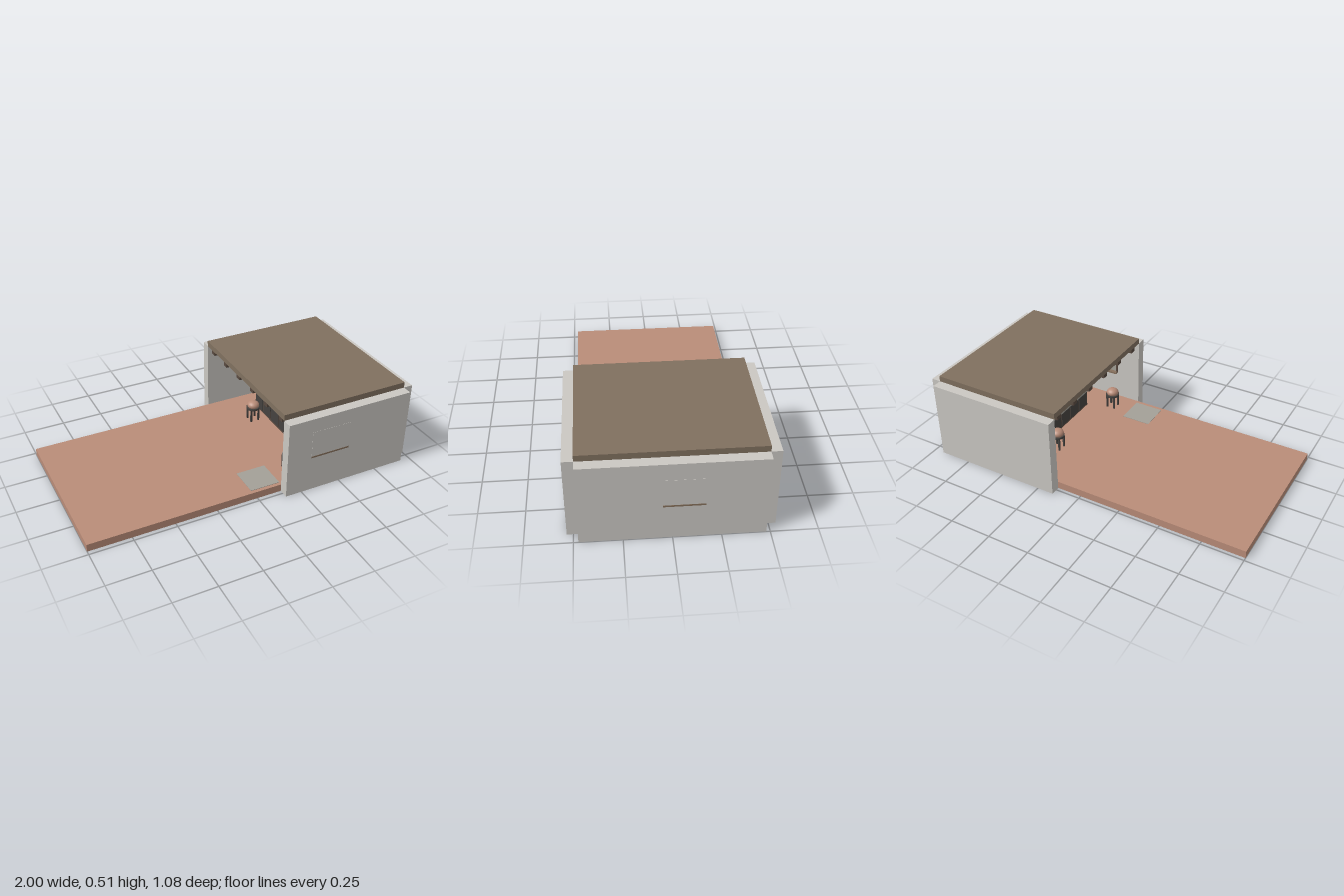
import * as THREE from 'three';

const mat = (name, color) => {
  const m = new THREE.MeshStandardMaterial({ color });
  m.name = name;
  return m;
};

export function createModel() {
  const root = new THREE.Group();
  root.name = 'openKitchen';
  const terracotta = mat('terracotta', 0xb98c78);
  const plaster = mat('plaster', 0xcac7c2);
  const roofWood = mat('roofWood', 0x80705f);
  const sillWood = mat('sillWood', 0x86705c);
  const darkWood = mat('darkWood', 0x594a40);
  const stone = mat('stone', 0xa3a097);
  const iron = mat('iron', 0x45423f);

  // Box given by its lower and upper corners
  const box = (name, m, a, b, parent = root) => {
    const mesh = new THREE.Mesh(new THREE.BoxGeometry(b[0] - a[0], b[1] - a[1], b[2] - a[2]), m);
    mesh.position.set((a[0] + b[0]) / 2, (a[1] + b[1]) / 2, (a[2] + b[2]) / 2);
    mesh.name = name;
    parent.add(mesh);
    return mesh;
  };
  // Round part standing on height y
  const round = (name, m, rTop, rBottom, h, x, y, z, parent = root) => {
    const mesh = new THREE.Mesh(new THREE.CylinderGeometry(rTop, rBottom, h, 16), m);
    mesh.position.set(x, y + h / 2, z);
    mesh.name = name;
    parent.add(mesh);
    return mesh;
  };

  // Floor, three walls with open notches at the corners, flat roof
  box('floor', terracotta, [-1, 0, -0.48], [0.94, 0.045, 0.475]);
  box('frontWall', plaster, [0.15, 0, 0.475], [0.94, 0.475, 0.534]);
  box('backWall', plaster, [0.15, 0, -0.539], [0.94, 0.475, -0.48]);
  box('sideWall', plaster, [0.94, 0, -0.48], [0.998, 0.475, 0.475]);
  box('roof', roofWood, [0.15, 0.475, -0.48], [0.94, 0.51, 0.475]);

  // Ceiling beams
  for (let i = 0; i < 6; i++) {
    const z = -0.42 + i * 0.167;
    box('ceilingBeam', darkWood, [0.16, 0.44, z - 0.018], [0.94, 0.475, z + 0.018]);
  }

  // Window: flush pane with a sill through the wall and an inner frame;
  // local x runs along the wall, local +z points outdoors
  const addWindow = (name, w, sillY, h, x, z, turn) => {
    const g = new THREE.Group();
    g.name = name;
    const y = sillY + 0.01;
    const inside = -0.059;
    box('pane', plaster, [-w / 2, y, -0.004], [w / 2, y + h, 0.001], g);
    box('sill', sillWood, [-w / 2, sillY, inside - 0.025], [w / 2, y, 0.002], g);
    box('innerPane', stone, [-w / 2, y, inside - 0.002], [w / 2, y + h, inside + 0.002], g);
    box('frameTop', darkWood, [-w / 2, y + h - 0.01, inside - 0.008], [w / 2, y + h, inside], g);
    for (const s of [-1, 0, 1]) {
      const c = s * (w / 2 - 0.005);
      box('framePost', darkWood, [c - 0.005, y, inside - 0.007], [c + 0.005, y + h, inside], g);
    }
    g.position.set(x, 0, z);
    g.rotation.y = turn;
    root.add(g);
  };
  addWindow('frontWindow', 0.245, 0.218, 0.16, 0.425, 0.534, 0);
  addWindow('sideWindow', 0.215, 0.206, 0.16, 0.998, -0.0575, Math.PI / 2);

  // Stone mat at the entrance
  box('mat', stone, [-0.03, 0.045, 0.275], [0.15, 0.0475, 0.453]);

  // Kitchen island with cupboard doors
  box('island', darkWood, [0.42, 0.045, -0.33], [0.55, 0.155, 0.28]);
  box('worktop', stone, [0.41, 0.155, -0.34], [0.56, 0.168, 0.29]);
  for (let i = 0; i < 6; i++) {
    const z = -0.32 + i * 0.1;
    box('cupboardDoor', iron, [0.416, 0.06, z], [0.42, 0.145, z + 0.088]);
  }

  // Pots and bowls on the worktop
  [-0.22, -0.08, 0.05, 0.15, 0.24].forEach((z, i) => {
    const pot = i % 2 === 0;
    const x = 0.46 + (i % 2) * 0.04;
    round(pot ? 'pot' : 'bowl', pot ? iron : terracotta, 0.017, pot ? 0.017 : 0.009, pot ? 0.025 : 0.016, x, 0.168, z);
    if (pot) round('potLid', stone, 0.005, 0.018, 0.008, x, 0.193, z);
  });

  // Round-seated stools
  for (const [x, z] of [[0.27, 0.35], [0.33, -0.2]]) {
    const stool = new THREE.Group();
    stool.name = 'stool';
    for (const sx of [-1, 1]) for (const sz of [-1, 1]) {
      box('stoolLeg', iron, [sx * 0.025 - 0.005, 0.045, sz * 0.025 - 0.005],
        [sx * 0.025 + 0.005, 0.13, sz * 0.025 + 0.005], stool);
    }
    round('stoolRim', iron, 0.042, 0.042, 0.012, 0, 0.126, 0, stool);
    const cushion = new THREE.Mesh(new THREE.SphereGeometry(0.038, 18, 12), terracotta);
    cushion.scale.y = 0.7;
    cushion.position.y = 0.15;
    cushion.name = 'stoolCushion';
    stool.add(cushion);
    stool.position.set(x, 0, z);
    root.add(stool);
  }
  return root;
}
